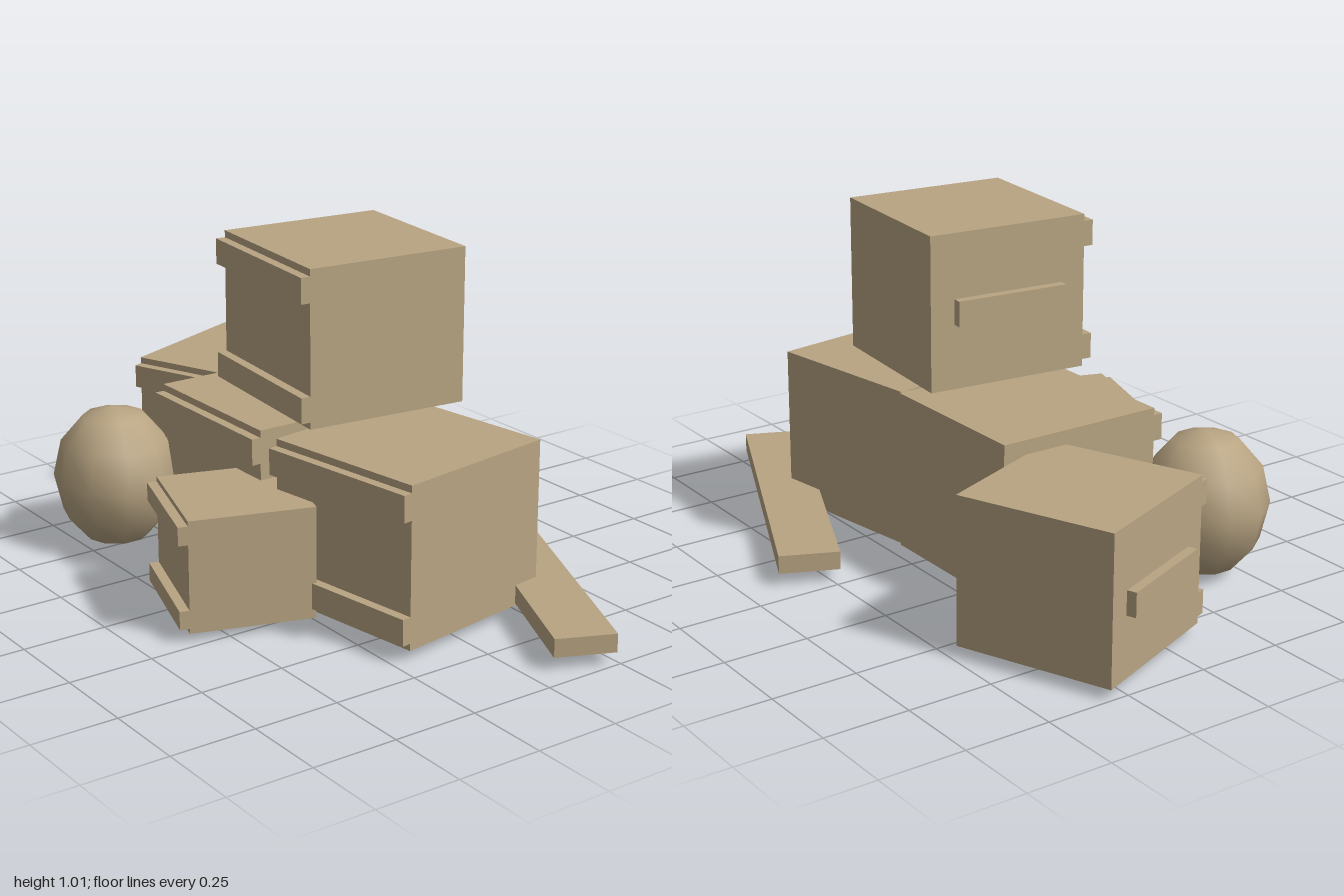
import * as THREE from 'three';

export function createModel() {
  const group = new THREE.Group();
  group.name = 'crateStack';
  const wood = new THREE.MeshStandardMaterial({ color: 0xb8a482 });
  wood.name = 'tan wood';

  const addBox = (parent, name, size, position) => {
    const mesh = new THREE.Mesh(new THREE.BoxGeometry(...size), wood);
    mesh.name = name;
    mesh.position.set(...position);
    parent.add(mesh);
    return mesh;
  };

  // Crate: square body, two slats across the front, one handle bar on the -x side
  const addCrate = (name, s, h, x, y, z, turn) => {
    const crate = new THREE.Group();
    crate.name = name;
    crate.position.set(x, y + h / 2, z);
    crate.rotation.y = turn;
    const bar = 0.15 * s;
    const out = 0.028;
    addBox(crate, 'body', [s, h, s], [0, 0, 0]);
    for (const side of [-1, 1]) {
      addBox(crate, side < 0 ? 'lowerSlat' : 'upperSlat', [s, bar, out],
        [0, side * 0.373 * h, s / 2 + out / 2]);
    }
    addBox(crate, 'sideHandle', [out, bar, 0.7 * s], [-s / 2 - out / 2, 0, 0]);
    group.add(crate);
  };

  addCrate('topCrate', 0.488, 0.447, 0.084, 0.565, 0, -0.098);
  addCrate('middleCrate', 0.515, 0.47, -0.182, 0.03, 0.02, 0);
  addCrate('leftCrate', 0.513, 0.47, 0.37, 0.03, -0.015, 0.158);
  addCrate('rightCrate', 0.467, 0.428, -0.696, 0.03, -0.177, 0.386);
  addCrate('frontCrate', 0.36, 0.328, 0.105, 0.024, 0.383, -0.314);

  // Loose plank lying behind the crates
  addBox(group, 'plank', [1, 0.054, 0.175], [0.508, 0.064, -0.358]).rotation.y = -0.417;

  // Tall rounded sack
  const sack = new THREE.Mesh(new THREE.SphereGeometry(0.187, 10, 6), wood);
  sack.name = 'sack';
  sack.scale.y = 1.166;
  sack.rotation.y = Math.PI / 2;
  sack.position.set(-0.52, 0.218, 0.403);
  group.add(sack);

  return group;
}
